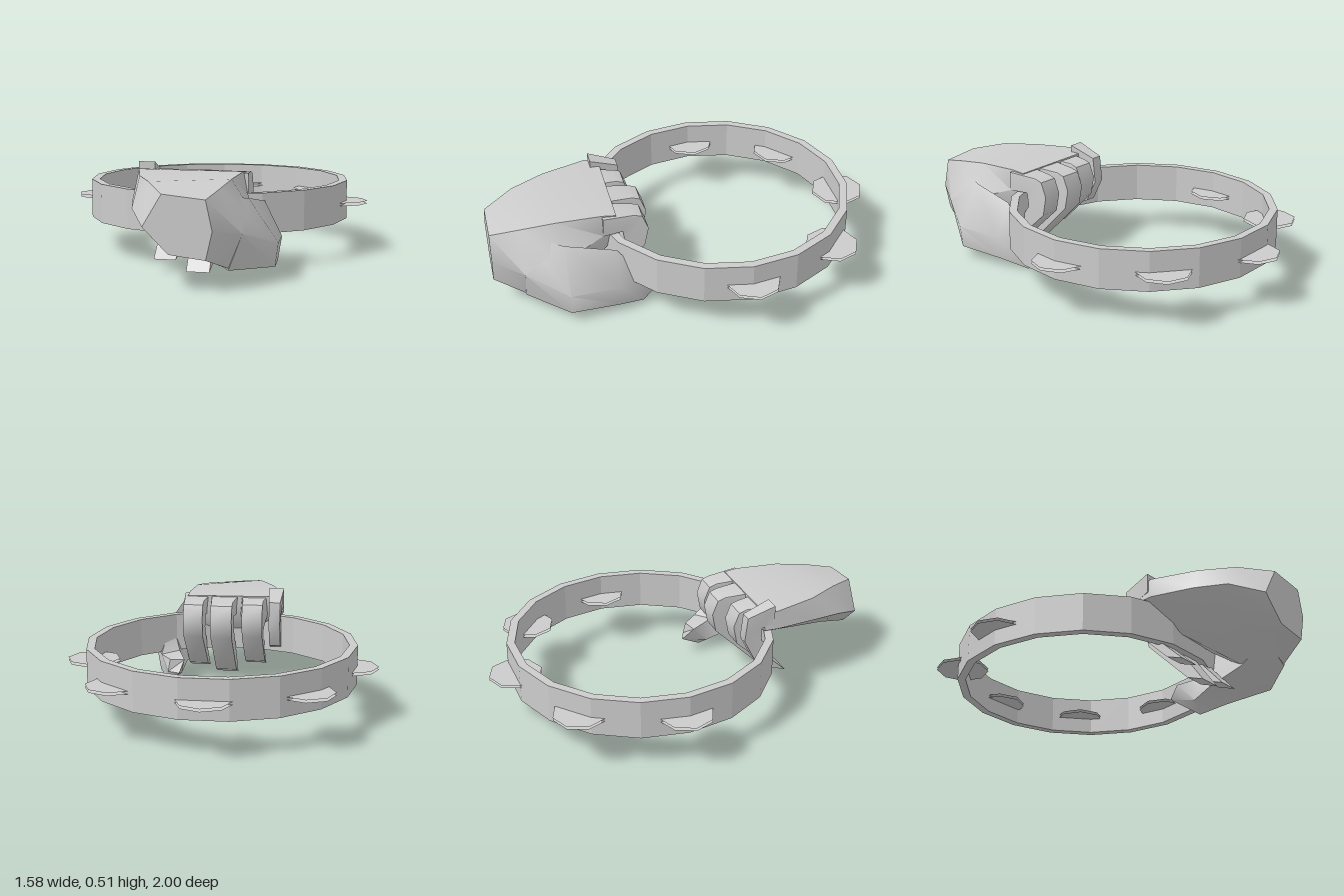
import * as THREE from 'three';
import { toCreasedNormals } from 'three/addons/utils/BufferGeometryUtils.js';

const mat = new THREE.MeshStandardMaterial({ color: 0xcccccc, side: THREE.DoubleSide });
const flatMat = new THREE.MeshStandardMaterial({ color: 0xcccccc, flatShading: true, side: THREE.DoubleSide });

function add(parent, name, geometry, material = mat) {
  const mesh = new THREE.Mesh(geometry, material);
  mesh.name = name;
  parent.add(mesh);
}

// Skin over cross-sections [z, [x, y, z offset], ...], clockwise from the front, ordered front to back
function loft(sections) {
  const n = sections[0].length - 1;
  const pos = sections.flatMap(([z, ...pts]) => pts.flatMap(([x, y, dz = 0]) => [x, y, z + dz]));
  const idx = [];
  for (let i = 0; i < sections.length - 1; i++) {
    for (let j = 0; j < n; j++) {
      const a = i * n + j, b = i * n + (j + 1) % n;
      idx.push(a, b, b + n, a, b + n, a + n);
    }
  }
  const last = (sections.length - 1) * n;
  for (let j = 1; j < n - 1; j++) {
    idx.push(0, j + 1, j, last, last + j, last + j + 1);
  }
  const g = new THREE.BufferGeometry();
  g.setAttribute('position', new THREE.Float32BufferAttribute(pos, 3));
  g.setIndex(idx);
  return toCreasedNormals(g, 0.85);
}

// Finger side outline in (z, y), extruded across x and spread towards the knuckle
function fingerGeometry(outline, x0, x1) {
  const shape = new THREE.Shape(outline.map(([z, y]) => new THREE.Vector2(z, y)));
  const g = new THREE.ExtrudeGeometry(shape, { depth: x1 - x0, bevelEnabled: false })
    .rotateY(-Math.PI / 2).translate(x1, 0, 0);
  const p = g.attributes.position, mid = (x0 + x1) / 2;
  for (let i = 0; i < p.count; i++) {
    if (p.getZ(i) > 0.37 && p.getY(i) > 0.37) p.setX(i, mid + (p.getX(i) - mid) * 1.35);
  }
  return toCreasedNormals(g, 0.75);
}

function ringPoints(r, sides) {
  return Array.from({ length: sides }, (_, i) => {
    const a = (i + 0.5) / sides * Math.PI * 2;
    return new THREE.Vector2(Math.sin(a) * r, Math.cos(a) * r);
  });
}

export function createModel() {
  const model = new THREE.Group();
  model.name = 'handWithTambourine';

  // Eighteen-sided hoop
  const hoop = new THREE.Shape(ringPoints(0.682, 18));
  hoop.holes.push(new THREE.Path(ringPoints(0.64, 18)));
  const hoopGeo = new THREE.ExtrudeGeometry(hoop, { depth: 0.2, bevelEnabled: false })
    .rotateX(-Math.PI / 2).translate(0, 0.175, -0.202);
  add(model, 'hoop', hoopGeo, flatMat);

  // Pairs of thin octagonal jingles through the hoop
  for (const [x, z] of [[0, -0.865], [0.46, -0.675], [-0.46, -0.675], [0.655, -0.21], [-0.655, -0.21]]) {
    const jingle = new THREE.Group();
    jingle.name = 'jingle';
    for (const y of [0.256, 0.27]) {
      add(jingle, 'jingleDisc', new THREE.CircleGeometry(0.135, 8).rotateX(-Math.PI / 2).translate(x, y, z));
    }
    model.add(jingle);
  }

  const hand = new THREE.Group();
  hand.name = 'hand';
  model.add(hand);

  // Wrist, back of the hand and knuckles
  add(hand, 'palm', loft([
    [1.00, [0, 0.44], [0.2, 0.42], [0.23, 0.28], [0.2, 0.15], [0.03, 0.17], [-0.09, 0.29]],
    [0.85, [-0.1, 0.475], [0.23, 0.45], [0.335, 0.25], [0.27, 0.09], [0.02, 0.195], [-0.18, 0.35]],
    [0.68, [-0.19, 0.48], [0.25, 0.475], [0.36, 0.3], [0.28, 0.1], [0.02, 0.2], [-0.225, 0.37]],
    [0.45, [-0.26, 0.485], [0.26, 0.485], [0.28, 0.38], [0.24, 0.26], [-0.08, 0.27], [-0.265, 0.385]],
    [0.38, [-0.25, 0.482], [0.26, 0.478], [0.26, 0.4], [0.24, 0.34], [-0.1, 0.34], [-0.26, 0.385]],
  ]));

  // Thumb reaching back below the hoop, with a blunt upturned tip
  add(hand, 'thumb', loft([
    [0.85, [0.22, 0.42], [0.335, 0.25], [0.27, 0.08], [0.12, 0.17]],
    [0.65, [0.325, 0.385], [0.465, 0.18], [0.45, 0.068], [0.2, 0.12]],
    [0.40, [0.355, 0.34], [0.44, 0.17], [0.42, 0.05], [0.27, 0.1]],
    [0.27, [0.3, 0.18, 0.05], [0.39, 0.17, -0.01], [0.355, 0.005], [0.285, 0.06, 0.02]],
    [0.14, [0.255, 0.16, 0.06], [0.33, 0.165, 0.04], [0.34, 0.1, 0.03], [0.275, 0.1]],
  ]));

  // Fingers curl over the hoop, down its inside and forward beneath it
  for (const [name, x0, x1, back, bottom] of [
    ['indexFinger', 0.16, 0.265, 0.22, 0.04],
    ['middleFinger', 0, 0.115, 0.2, 0.005],
    ['ringFinger', -0.16, -0.05, 0.25, 0.06],
  ]) {
    add(hand, name, fingerGeometry([
      [0.45, 0.478], [back + 0.07, 0.468], [back + 0.03, 0.455], [back, 0.38], [back + 0.02, 0.28],
      [0.46, bottom + 0.035], [0.555, bottom], [0.43, 0.18], [back + 0.12, 0.31], [back + 0.13, 0.38], [0.45, 0.38],
    ], x0, x1));
  }

  // Little finger, lifted and curled inside the hoop
  add(hand, 'littleFinger', fingerGeometry([
    [0.43, 0.52], [0.285, 0.47], [0.27, 0.34], [0.33, 0.22], [0.415, 0.19],
    [0.41, 0.28], [0.365, 0.33], [0.365, 0.4], [0.43, 0.42],
  ], -0.255, -0.195));

  return model;
}
